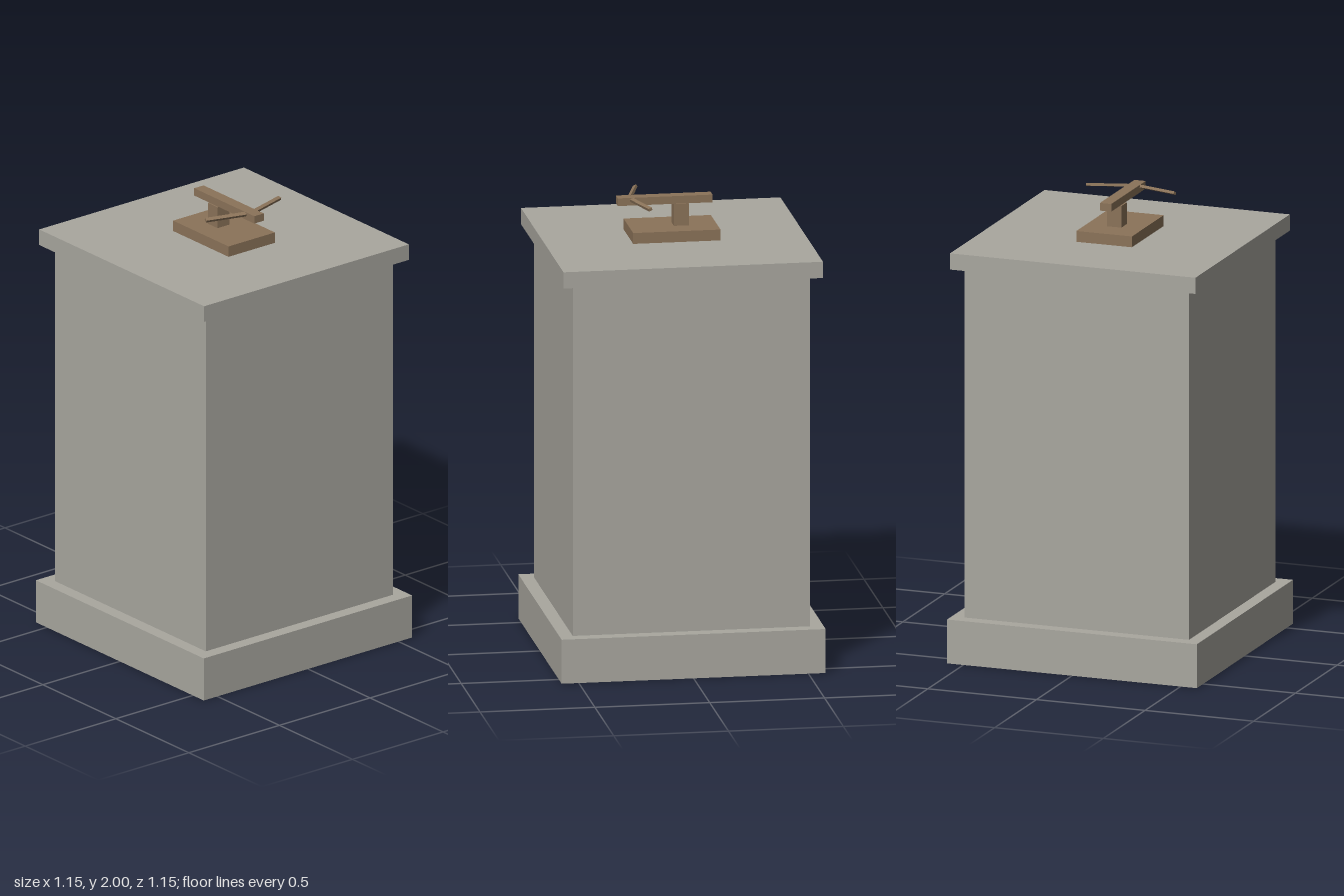
import * as THREE from 'three';

const stone = new THREE.MeshStandardMaterial({ name: 'stone', color: 0xa9a79f });
const wood = new THREE.MeshStandardMaterial({ name: 'wood', color: 0x8b7359 });

// Box resting on height y0, reaching y1
function block(name, material, width, depth, y0, y1, z = 0) {
  const mesh = new THREE.Mesh(new THREE.BoxGeometry(width, y1 - y0, depth), material);
  mesh.name = name;
  mesh.position.set(0, (y0 + y1) / 2, z);
  return mesh;
}

export function createModel() {
  const model = new THREE.Group();
  model.name = 'towerWithCrossbow';

  // Stone tower
  const tower = new THREE.Group();
  tower.name = 'tower';
  tower.add(
    block('plinth', stone, 1.15, 1.15, 0, 0.195),
    block('shaft', stone, 1.034, 1.034, 0.195, 1.75),
    block('capSlab', stone, 1.13, 1.13, 1.75, 1.822),
  );

  // Mounted crossbow
  const crossbow = new THREE.Group();
  crossbow.name = 'crossbow';
  crossbow.add(
    block('mountPlate', wood, 0.256, 0.38, 1.822, 1.87),
    block('post', wood, 0.066, 0.066, 1.87, 1.966, -0.036),
    block('stock', wood, 0.052, 0.412, 1.966, 2, 0.034),
  );

  // Bow arms swept back from the stock and rolled slightly forward
  for (const side of [-1, 1]) {
    const arm = new THREE.Mesh(new THREE.BoxGeometry(0.206, 0.012, 0.017), wood);
    arm.name = side > 0 ? 'leftBowArm' : 'rightBowArm';
    arm.rotation.order = 'YXZ';
    arm.rotation.set(side > 0 ? 0.3 : 0.5, side * 0.285, 0);
    arm.position.set(side * 0.105, 1.991, 0.156);
    crossbow.add(arm);
  }

  model.add(tower, crossbow);
  return model;
}
